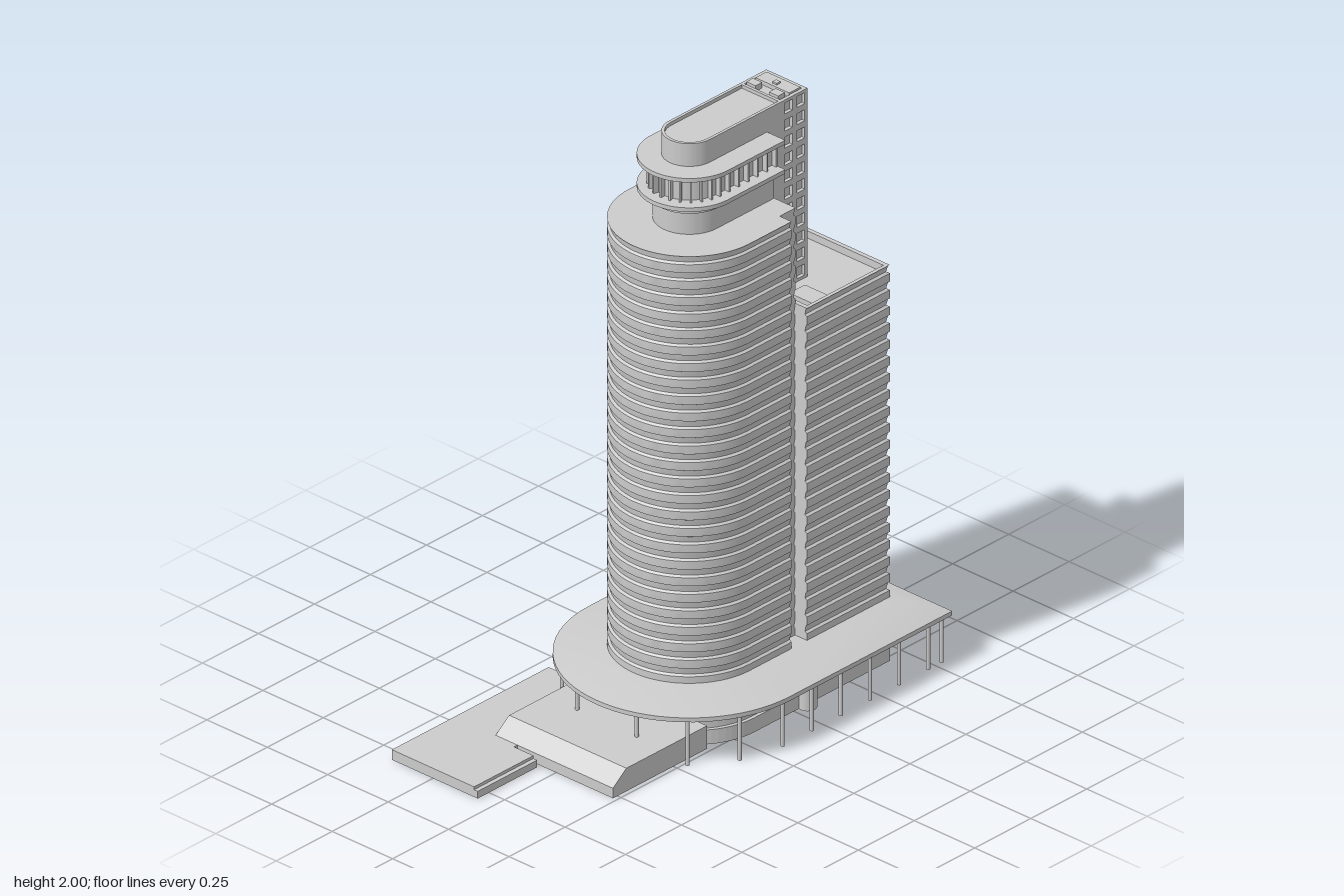
import * as THREE from 'three';
import { toCreasedNormals } from 'three/addons/utils/BufferGeometryUtils.js';

const CX = 0.075; // centre of every rounded end
const material = new THREE.MeshStandardMaterial({ color: 0xcccccc });

// Plan outline, long sides at z = +-r: a rounded west end, or a rectangle from x0 to x1
const rounded = (r, x1) => {
  const pts = [[x1, r]];
  for (let i = 0; i <= 36; i++) {
    const a = Math.PI * (0.5 + i / 36);
    pts.push([CX + r * Math.cos(a), r * Math.sin(a)]);
  }
  pts.push([x1, -r]);
  return pts;
};
const rect = (r, x1, x0) => [[x1, r], [x0, r], [x0, -r], [x1, -r]];

// Skins a list of [outline, y] rings and caps both ends
function loft(rings) {
  const pos = [];
  const put = (p, y) => pos.push(p[0], y, p[1]);
  for (let k = 0; k < rings.length - 1; k++) {
    const [lo, y0] = rings[k], [hi, y1] = rings[k + 1];
    for (let i = 0; i < lo.length; i++) {
      const j = (i + 1) % lo.length;
      put(lo[i], y0); put(hi[i], y1); put(lo[j], y0);
      put(lo[j], y0); put(hi[i], y1); put(hi[j], y1);
    }
  }
  const cap = ([o, y], up) => {
    const mid = [(Math.min(...o.map(p => p[0])) + o[0][0]) / 2, 0];
    for (let i = 0; i < o.length; i++) {
      const j = (i + 1) % o.length;
      put(mid, y); put(o[up ? j : i], y); put(o[up ? i : j], y);
    }
  };
  cap(rings[0], false);
  cap(rings[rings.length - 1], true);
  const g = new THREE.BufferGeometry();
  g.setAttribute('position', new THREE.Float32BufferAttribute(pos, 3));
  return toCreasedNormals(g, 0.35);
}

// Rings of a facade with a proud spandrel and a slanted window strip on each floor
function floors(outline, y0, y1, n) {
  const rings = [], h = (y1 - y0) / n;
  for (let i = 0; i < n; i++) {
    const y = y0 + i * h;
    rings.push([outline(0), y], [outline(0), y + 0.5 * h], [outline(0.008), y + 0.6 * h], [outline(0.004), y + 0.96 * h]);
  }
  rings.push([outline(0), y1]);
  return rings;
}

// Vertical extrusion of a plan given as [x, z] points
function slab(pts, y0, y1) {
  const s = new THREE.Shape(pts.map(([x, z]) => new THREE.Vector2(x, -z)));
  const g = new THREE.ExtrudeGeometry(s, { depth: y1 - y0, bevelEnabled: false });
  return g.rotateX(-Math.PI / 2).translate(0, y0, 0);
}

// Wall panel with a grid of window openings
function windowPanel(w, h, cols, rows, depth) {
  const s = new THREE.Shape([[-w / 2, 0], [w / 2, 0], [w / 2, h], [-w / 2, h]].map(p => new THREE.Vector2(...p)));
  const px = w / cols, py = h / rows, a = Math.min(px * 0.32, 0.018), b = py * 0.32;
  for (let i = 0; i < cols; i++) for (let j = 0; j < rows; j++) {
    const x = -w / 2 + (i + 0.5) * px, y = (j + 0.5) * py;
    s.holes.push(new THREE.Path([[x - a, y - b], [x - a, y + b], [x + a, y + b], [x + a, y - b]].map(p => new THREE.Vector2(...p))));
  }
  return new THREE.ExtrudeGeometry(s, { depth, bevelEnabled: false });
}

export function createModel() {
  const model = new THREE.Group();
  const add = (name, geometry, parent = model) => {
    const m = new THREE.Mesh(geometry, material);
    m.name = name;
    parent.add(m);
    return m;
  };
  const box = (name, x0, x1, y0, y1, z0, z1, parent) => add(name,
    new THREE.BoxGeometry(x1 - x0, y1 - y0, z1 - z0).translate((x0 + x1) / 2, (y0 + y1) / 2, (z0 + z1) / 2), parent);

  // Towers: tall rounded one, recessed link, lower rectangular one with a sunken roof
  add('roundedTower', loft(floors(d => rounded(0.25 - d, 0.262), 0.2, 1.69, 26)));
  add('towerLink', loft(floors(d => rect(0.2, 0.333 - d, 0.24), 0.2, 1.69, 26)));
  const parapet = [[rect(0.237, 0.685, 0.345), 1.36], [rect(0.237, 0.685, 0.345), 1.335]];
  add('rectangularTower', loft([...floors(d => rect(0.25 - d, 0.7 - d, 0.33), 0.2, 1.36, 20), ...parapet]));

  // Lower roof equipment
  box('roofPlant', 0.355, 0.5, 1.33, 1.35, -0.185, -0.105);
  for (const x of [0.39, 0.46]) box('roofVent', x - 0.025, x + 0.025, 1.34, 1.356, -0.17, -0.12);
  box('roofHatch', 0.375, 0.445, 1.33, 1.352, 0.135, 0.235);

  // Crown: drum, two overhanging slabs and a ring of mullions
  add('crownDrum', loft([[rounded(0.112, 0.33), 1.69], [rounded(0.112, 0.33), 1.9]]));
  for (const y of [1.795, 1.897])
    add('crownSlab', loft([[rounded(0.16, 0.33), y], [rounded(0.16, 0.33), y + 0.014]]));
  const mullions = new THREE.Group();
  mullions.name = 'crownMullions';
  model.add(mullions);
  const mullion = (x, z, turn) => {
    const m = add('mullion', new THREE.BoxGeometry(0.02, 0.1, 0.006), mullions);
    m.position.set(x, 1.85, z);
    m.rotation.y = turn;
  };
  for (let i = 0; i <= 12; i++) {
    const a = Math.PI * (0.5 + i / 12);
    mullion(CX + 0.12 * Math.cos(a), 0.12 * Math.sin(a), -a);
  }
  for (const s of [-1, 1]) for (let x = 0.115; x < 0.33; x += 0.042) mullion(x, s * 0.12, Math.PI / 2);
  add('crownLedge', loft([[rounded(0.118, 0.33), 1.765], [rounded(0.118, 0.33), 1.78]]));

  // Service core with a rim around its roof and windows at the east end
  const Y = 1.335, H = 1.99 - Y;
  add('coreBody', loft([[rounded(0.085, 0.4), Y], [rounded(0.085, 0.4), 1.99],
    [rounded(0.075, 0.39), 1.99], [rounded(0.075, 0.39), 1.978]]));
  box('coreEnd', 0.395, 0.499, Y, 1.98, -0.073, 0.073);
  const end = add('coreEndWindows', windowPanel(0.17, H, 3, 11, 0.012));
  end.rotation.y = Math.PI / 2;
  end.position.set(0.498, Y, 0);
  for (const s of [-1, 1]) {
    const side = add('coreSideWindows', windowPanel(0.11, H, 2, 11, 0.012));
    side.position.set(0.453, Y, s > 0 ? 0.073 : -0.085);
    box('coreVent', 0.4, 0.43, 1.975, 2, s * 0.047 - 0.019, s * 0.047 + 0.019);
  }
  box('corePlant', 0.445, 0.495, 1.975, 1.994, -0.07, 0.07);
  box('coreFlue', 0.455, 0.472, 1.99, 2, -0.009, 0.009);

  // Canopy sloping up to the towers
  add('canopy', loft([[rounded(0.415, 0.8), 0.163], [rounded(0.415, 0.8), 0.178], [rounded(0.25, 0.7), 0.206]]));

  // Ground floor with a recessed strip between plinth and fascia
  const plan = d => {
    const pts = [[0.76 - d, -0.36 + d], [0.76 - d, -0.115 - d], [0.68 - d, -0.115 - d], [0.68 - d, 0.27 - d]];
    for (let i = 0; i <= 18; i++) {
      const a = Math.PI * (0.5 + i / 36);
      pts.push([CX + (0.25 - d) * Math.cos(a), 0.02 + (0.25 - d) * Math.sin(a)]);
    }
    pts.push([-0.175 + d, -0.2], [-0.1 + d, -0.36 + d]);
    return pts.reverse();
  };
  add('plinth', slab(plan(0), 0, 0.05));
  add('groundFloorGlazing', slab(plan(0.012), 0.05, 0.11));
  add('fascia', slab(plan(0), 0.11, 0.165));
  add('entranceDrum', new THREE.CylinderGeometry(0.03, 0.03, 0.165, 24).translate(0.3, 0.0825, 0.28));

  // Canopy columns
  const columns = new THREE.Group();
  columns.name = 'canopyColumns';
  model.add(columns);
  const column = (x, z) => add('column', new THREE.CylinderGeometry(0.0065, 0.0065, 0.17, 12).translate(x, 0.085, z), columns);
  for (const s of [-1, 1]) {
    for (const x of [0.07, 0.2, 0.33, 0.46, 0.59, 0.72, 0.78]) column(x, s * 0.39);
    for (const deg of [18.5, 42, 66]) {
      const a = THREE.MathUtils.degToRad(deg);
      column(CX - 0.388 * Math.cos(a), s * 0.388 * Math.sin(a));
    }
  }
  column(0.78, 0);

  // Plaza: low terrace with a step, and a raised terrace with a ramped west edge
  add('lowTerrace', slab([[-0.8, -0.42], [-0.8, -0.08], [-0.535, -0.08], [-0.535, -0.16], [-0.1, -0.16], [-0.1, -0.42]], 0, 0.035));
  box('terraceStep', -0.8, -0.535, 0, 0.025, -0.1, -0.065);
  const ramp = new THREE.Shape([[-0.52, 0], [-0.1, 0], [-0.1, 0.08], [-0.46, 0.08], [-0.52, 0.035]].map(p => new THREE.Vector2(...p)));
  add('raisedTerrace', new THREE.ExtrudeGeometry(ramp, { depth: 0.485, bevelEnabled: false }).translate(0, 0, -0.25));
  return model;
}
